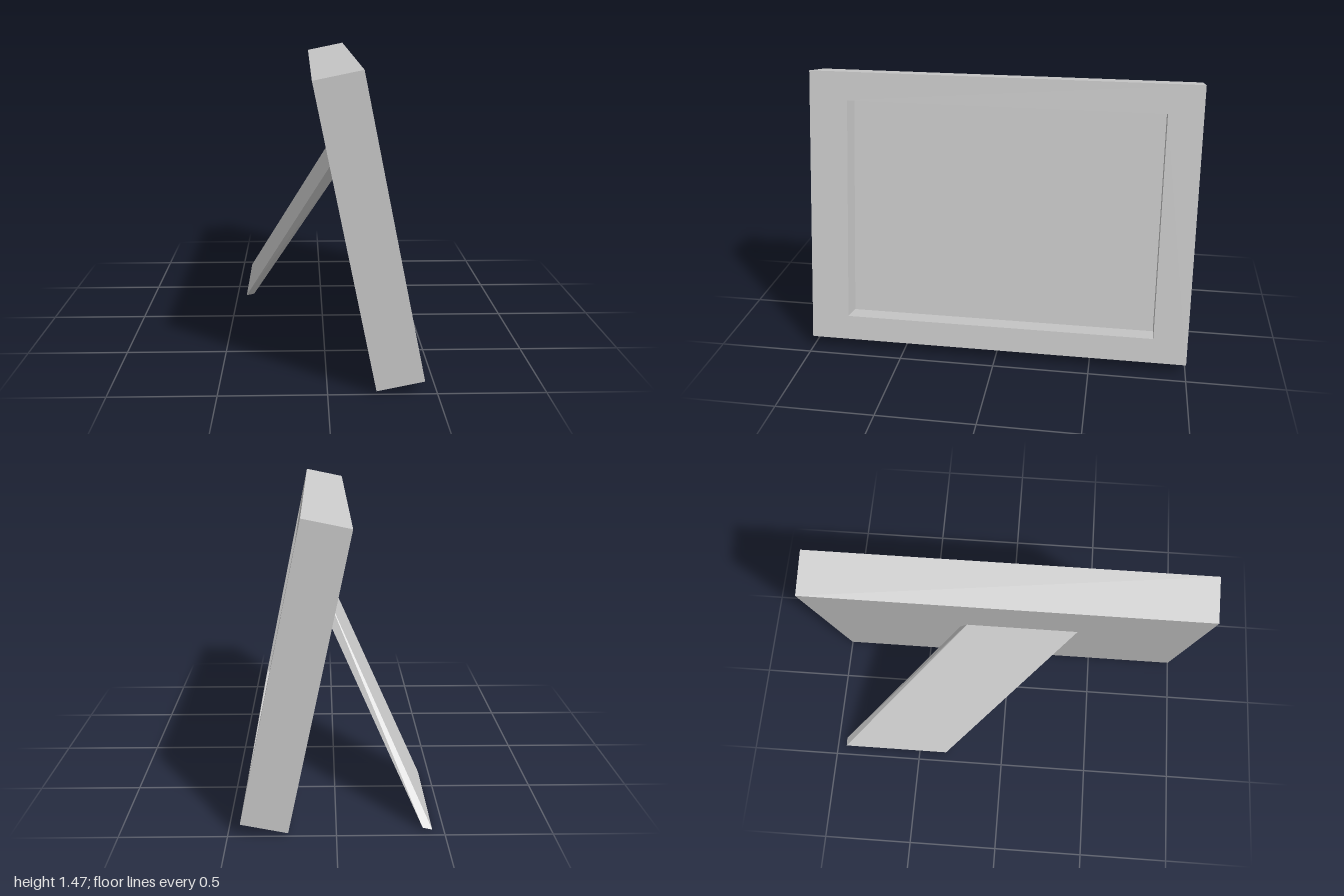
import * as THREE from 'three';

// Skin a series of four-cornered rings, closing both ends.
function loft(rings) {
  const pos = [];
  const quad = (a, b, c, d) => pos.push(...a, ...b, ...c, ...a, ...c, ...d);
  for (let r = 0; r < rings.length - 1; r++) {
    const a = rings[r], b = rings[r + 1];
    for (let i = 0; i < 4; i++) {
      const j = (i + 1) % 4;
      quad(a[i], a[j], b[j], b[i]);
    }
  }
  quad(...[...rings[0]].reverse());
  quad(...rings[rings.length - 1]);
  const geo = new THREE.BufferGeometry();
  geo.setAttribute('position', new THREE.Float32BufferAttribute(pos, 3));
  geo.computeVertexNormals();
  return geo;
}

// Rectangle across the frame at depth x.
const rect = (x, y0, y1, z0, z1) => [[x, y0, z1], [x, y0, z0], [x, y1, z0], [x, y1, z1]];

export function createModel() {
  const group = new THREE.Group();
  const material = new THREE.MeshStandardMaterial({ color: 0xcccccc, flatShading: true });
  const add = (name, geo) => {
    const mesh = new THREE.Mesh(geo, material);
    mesh.name = name;
    group.add(mesh);
    return mesh;
  };

  // Thick picture frame with a recessed panel, leaning back
  const half = 0.1125, h = 0.7175, recess = 0.12;
  const frame = add('pictureFrame', loft([
    rect(-half, -h, h, -1, 1),
    rect(half, -h, h, -1, 1),
    rect(half, -0.588, 0.572, -0.825, 0.8),
    rect(half - recess, -0.588, 0.572, -0.825, 0.8),
  ]));
  frame.rotation.z = 0.2035;
  frame.position.set(0.187, 0.74, 0);

  // Slanted support leg, pushed slightly into the back of the frame
  const foot = [[-0.447, 0, -0.34], [-0.402, 0.01, -0.34], [-0.402, 0.01, -0.95], [-0.447, 0, -0.95]];
  const head = [[0.032, 0.935, 0.37], [0.047, 0.86, 0.33], [0.047, 0.86, -0.255], [0.032, 0.935, -0.214]];
  const top = head.map((p, i) => p.map((v, k) => foot[i][k] + (v - foot[i][k]) * 1.02));
  add('supportLeg', loft([foot, top]));

  return group;
}
